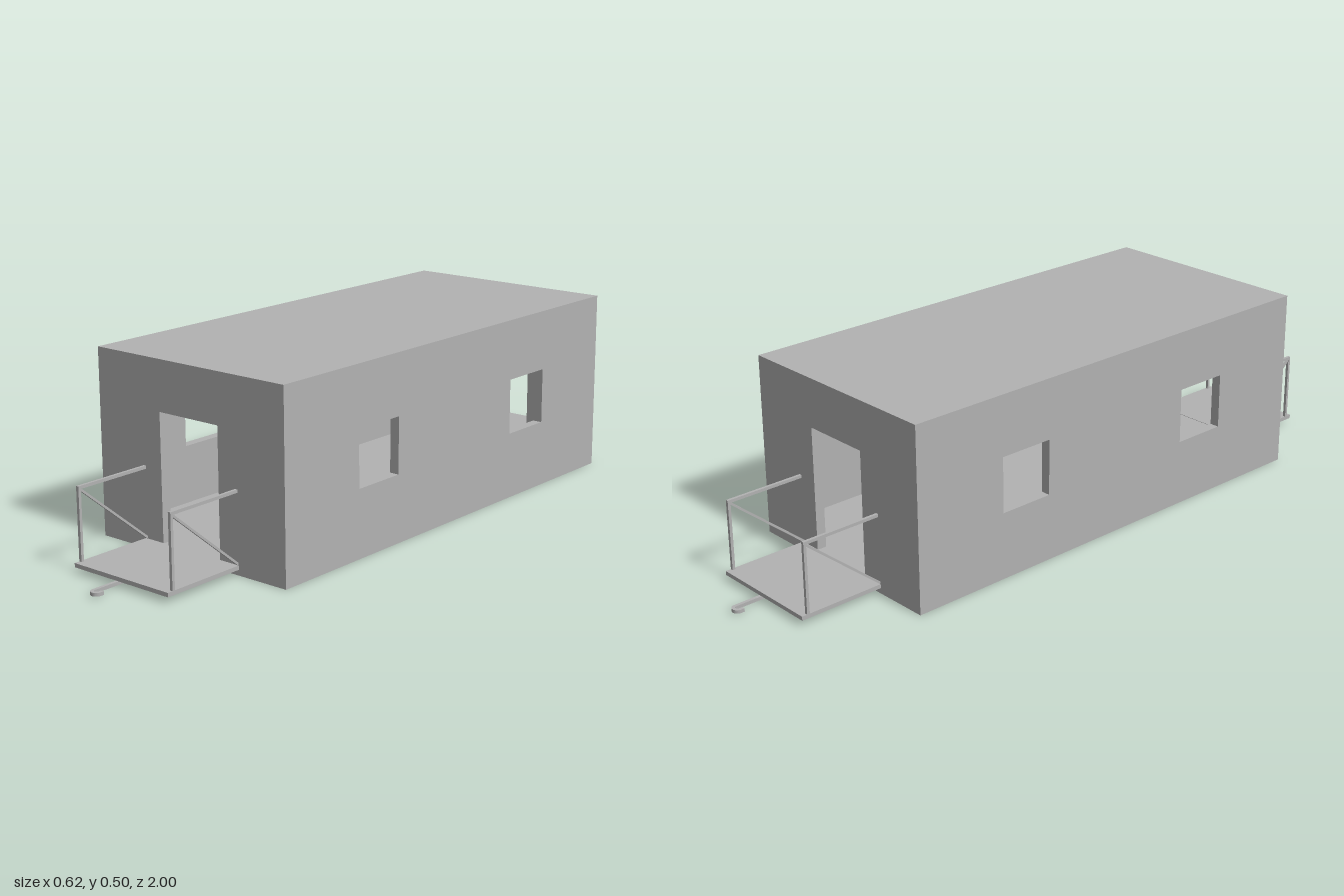
import * as THREE from 'three';

const W = 0.312, H = 0.5, L = 0.673, T = 0.027; // half width, height, half length, wall thickness
const FLOOR = 0.025;

export function createModel() {
  const model = new THREE.Group();
  model.name = 'cabin';
  const grey = new THREE.MeshStandardMaterial({ color: 0xb2b2b2 });
  grey.name = 'lightGrey';

  const add = (parent, name, geometry, x = 0, y = 0, z = 0) => {
    const mesh = new THREE.Mesh(geometry, grey);
    mesh.name = name;
    mesh.position.set(x, y, z);
    parent.add(mesh);
    return mesh;
  };
  const box = (parent, name, w, h, d, x, y, z) =>
    add(parent, name, new THREE.BoxGeometry(w, h, d), x, y, z);
  const rect = (Kind, x0, y0, x1, y1) => {
    const p = new Kind();
    p.moveTo(x0, y0);
    p.lineTo(x1, y0);
    p.lineTo(x1, y1);
    p.lineTo(x0, y1);
    p.closePath();
    return p;
  };
  const extrude = (shape, depth) =>
    new THREE.ExtrudeGeometry(shape, { depth, bevelEnabled: false, curveSegments: 8 });

  // Floor and roof slabs
  box(model, 'floor', 2 * W, FLOOR, 2 * L, 0, FLOOR / 2, 0);
  box(model, 'roof', 2 * W, T, 2 * L, 0, H - T / 2, 0);

  // Long walls with two window openings each
  const sideShape = rect(THREE.Shape, -L, FLOOR, L, H - T);
  for (const s of [-1, 1]) {
    const [a, b] = s < 0 ? [-0.4, -0.244] : [0.244, 0.4];
    sideShape.holes.push(rect(THREE.Path, a, 0.183, b, 0.335));
  }
  const sideGeometry = extrude(sideShape, T).rotateY(Math.PI / 2);
  add(model, 'leftWall', sideGeometry, W - T);
  add(model, 'rightWall', sideGeometry, -W);

  // Bar of square section running between two points in a plane of constant x
  const bar = (parent, name, x, y0, z0, y1, z1, t) => {
    const length = Math.hypot(y1 - y0, z1 - z0);
    const mesh = box(parent, name, t, t, length, x, (y0 + y1) / 2, (z0 + z1) / 2);
    mesh.rotation.x = -Math.atan2(y1 - y0, z1 - z0);
  };

  // Both ends are alike, the back one turned half way round
  const endShape = rect(THREE.Shape, -W + T, FLOOR, W - T, H - T);
  endShape.holes.push(rect(THREE.Path, -0.098, FLOOR, 0.098, 0.366));
  // Doorway reaches the floor, so the outline is drawn as an arch
  const arch = new THREE.Shape([
    [-W + T, FLOOR], [-0.098, FLOOR], [-0.098, 0.366], [0.098, 0.366],
    [0.098, FLOOR], [W - T, FLOOR], [W - T, H - T], [-W + T, H - T],
  ].map(([x, y]) => new THREE.Vector2(x, y)));

  // Coupling hook outline, seen from above (shape y runs along z)
  const hook = new THREE.Shape();
  hook.moveTo(-0.018, L);
  hook.lineTo(-0.009, L);
  hook.lineTo(-0.009, 0.985);
  hook.absarc(-0.0025, 0.985, 0.0065, Math.PI, 0, true);
  hook.lineTo(0.004, 0.976);
  hook.lineTo(0.013, 0.976);
  hook.lineTo(0.013, 0.985);
  hook.absarc(-0.0025, 0.985, 0.0155, 0, Math.PI, false);
  hook.closePath();

  for (const [name, turn] of [['front', 0], ['back', Math.PI]]) {
    const end = new THREE.Group();
    end.name = name + 'End';
    end.rotation.y = turn;
    model.add(end);

    add(end, 'endWall', extrude(arch, T), 0, 0, L - T);
    box(end, 'platform', 0.32, 0.011, 0.239, 0, 0.0205, L + 0.1195);
    for (const s of [-1, 1]) {
      const x = s * 0.156;
      bar(end, 'railPost', x, 0.026, 0.893, 0.218, 0.893, 0.008);
      bar(end, 'handRail', x, 0.214, L, 0.214, 0.897, 0.008);
      bar(end, 'railBrace', x, 0.029, L, 0.211, 0.892, 0.006);
    }
    add(end, 'couplingHook', extrude(hook, 0.009).rotateX(Math.PI / 2), 0, 0.014, 0);
  }
  return model;
}
